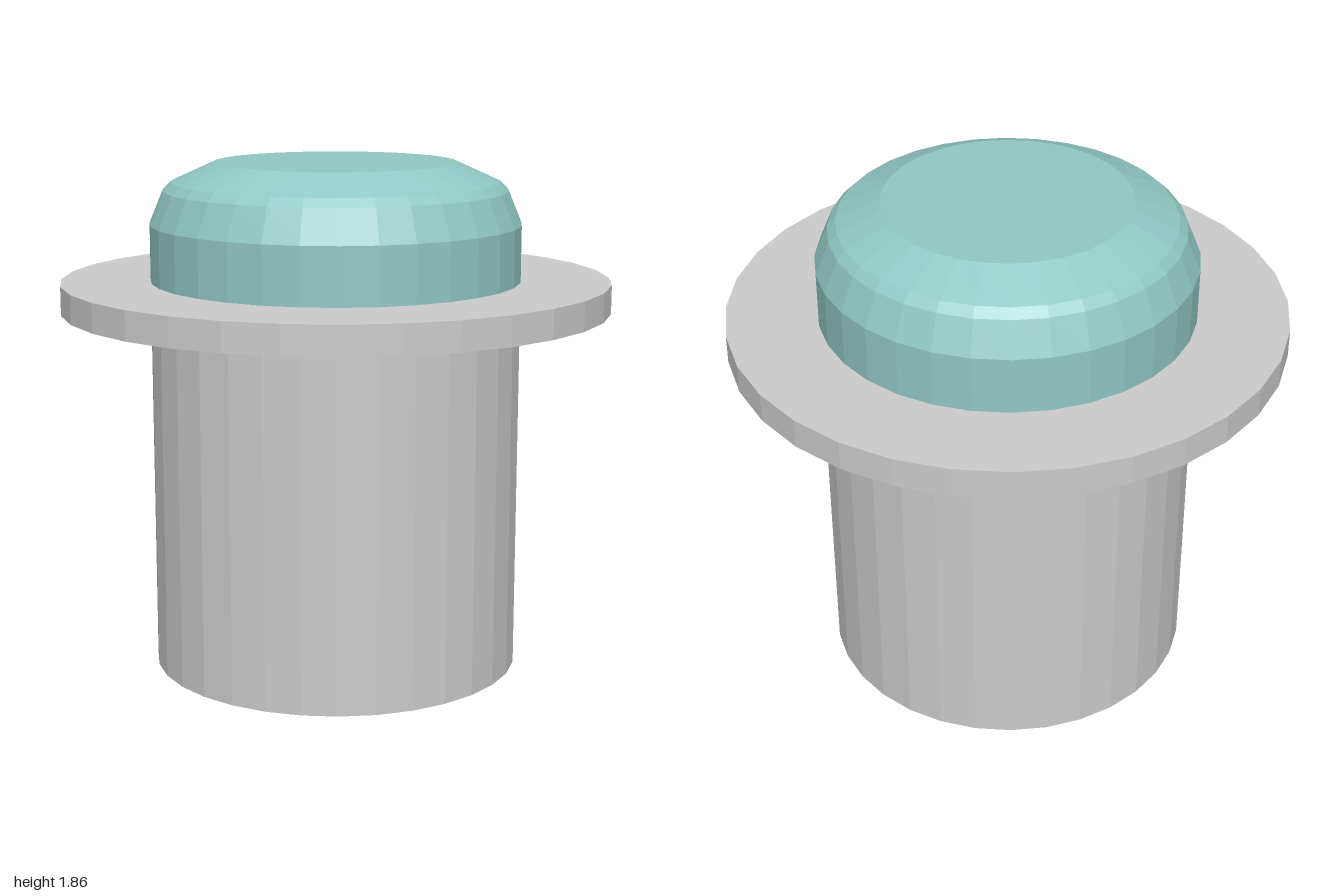
import * as THREE from 'three';

const SEGMENTS = 32;

// Faceted solid of revolution; profile is [radius, height] from bottom to top
function turned(name, profile, color) {
  const points = profile.map(([r, y]) => new THREE.Vector2(r, y));
  const material = new THREE.MeshStandardMaterial({ color, flatShading: true });
  const mesh = new THREE.Mesh(new THREE.LatheGeometry(points, SEGMENTS), material);
  mesh.name = name;
  return mesh;
}

export function createModel() {
  const group = new THREE.Group();
  group.name = 'pushButton';

  const radius = 0.675;
  const flangeBottom = 1.33;
  const flangeTop = 1.435;

  // Cylindrical housing with a closed base
  group.add(turned('housing', [[0, 0], [radius, 0], [radius, flangeBottom]], 0xcccccc));

  // Wide mounting flange
  group.add(turned('flange', [
    [radius, flangeBottom], [1, flangeBottom], [1, flangeTop], [radius, flangeTop],
  ], 0xcccccc));

  // Domed button cap with a flat top
  group.add(turned('buttonCap', [
    [radius, flangeTop], [radius, 1.64], [0.625, 1.76], [0.595, 1.79], [0.44, 1.86], [0, 1.86],
  ], 0x91c8c3));

  return group;
}
